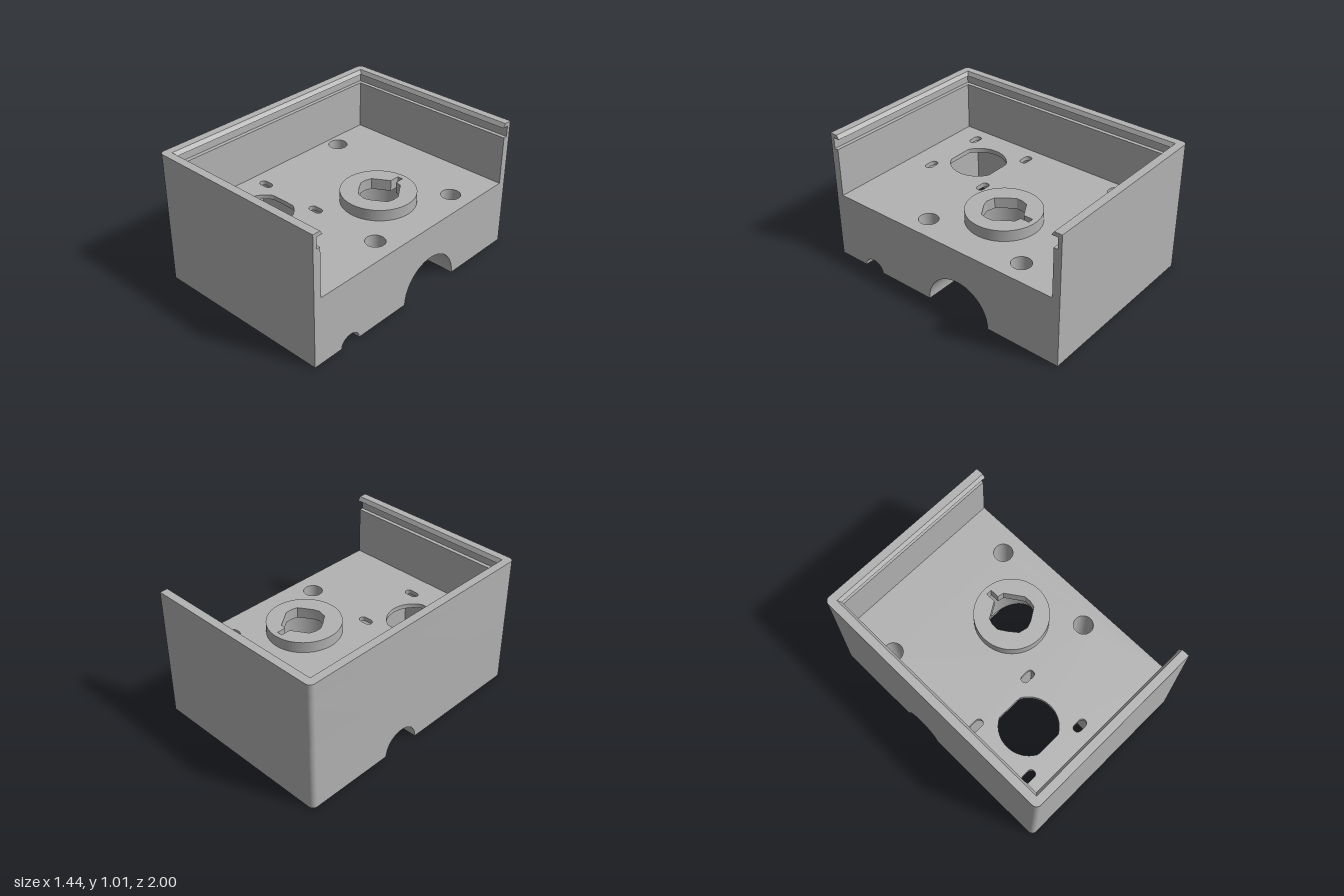
import * as THREE from 'three';
import { toCreasedNormals } from 'three/addons/utils/BufferGeometryUtils.js';

const X = 0.72, FLOOR = 0.525, CZ = -0.15;      // half width, floor height, channel axis
const BIG = 0.265, SMALL = 0.15;                // channel radii
const STEP1 = -0.07, STEP2 = -0.33;             // where the channel narrows
const BOSS = [0.225, -0.155], RECESS = 0.25;    // round boss and the recess under it

// Outline helpers, all returning [a, b] pairs
const arc = (ca, cb, r, from, to, n = 24) => Array.from({ length: n + 1 }, (_, i) => {
  const t = from + (to - from) * i / n;
  return [ca + r * Math.cos(t), cb + r * Math.sin(t)];
});
const circle = (a, b, r, n = 48) => arc(a, b, r, 0, Math.PI * 2, n);
const rect = (a0, a1, b0, b1) => [[a0, b0], [a1, b0], [a1, b1], [a0, b1], [a0, b0]];
const slot = (a, b, half, r) => [
  ...arc(a + half - r, b, r, -Math.PI / 2, Math.PI / 2, 12),
  ...arc(a - half + r, b, r, Math.PI / 2, Math.PI * 1.5, 12), [a + half - r, b - r]];
const corner = (s) => arc(-X + 0.04, s * 0.96, 0.04, s * Math.PI / 2, s * Math.PI, 8);
const toShape = (pts) => new THREE.Shape(pts.map(([a, b]) => new THREE.Vector2(a, b)));

export function createModel() {
  const model = new THREE.Group();
  const grey = new THREE.MeshStandardMaterial({ color: 0xb2b2b2, side: THREE.DoubleSide });
  grey.name = 'grey plastic';

  const add = (name, geo) => {
    const mesh = new THREE.Mesh(toCreasedNormals(geo, 0.5), grey);
    mesh.name = name;
    model.add(mesh);
    return mesh;
  };
  // Flat face, its 2D points placed in space by a mapping
  const panel = (name, pts, holes, place) => {
    const shape = toShape(pts);
    shape.holes = holes.map(toShape);
    const geo = new THREE.ShapeGeometry(shape);
    const p = geo.attributes.position;
    for (let i = 0; i < p.count; i++) p.setXYZ(i, ...place(p.getX(i), p.getY(i)));
    add(name, geo);
  };
  const panelX = (name, x, pts, holes = []) => panel(name, pts, holes, (z, y) => [x, y, z]);
  const panelY = (name, y, pts, holes = []) => panel(name, pts, holes, (x, z) => [x, y, z]);
  // Surface lofted through rows of 3D points
  const loft = (name, rows) => {
    const n = rows[0].length, index = [];
    for (let r = 0; r < rows.length - 1; r++) {
      for (let i = 0; i < n - 1; i++) {
        const a = r * n + i, b = a + n;
        index.push(a, a + 1, b, a + 1, b + 1, b);
      }
    }
    const geo = new THREE.BufferGeometry();
    geo.setAttribute('position', new THREE.Float32BufferAttribute(rows.flat(2), 3));
    geo.setIndex(index);
    add(name, geo);
  };
  const wallY = (name, pts, y0, y1) =>
    loft(name, [y0, y1].map((y) => pts.map(([x, z]) => [x, y, z])));
  const wallX = (name, pts, x0, x1) =>
    loft(name, [x0, x1].map((x) => pts.map(([z, y]) => [x, y, z])));

  // Upper walls: three U-shaped layers forming the wall, lid groove and sloped lip
  const layer = (name, o, y0, y1, topShift = 0) => {
    const xi = -X + o, zi = 1 - o;
    const pts = [[X, 1], ...corner(1), ...corner(-1).reverse(), [X, -1],
      [X, -zi], [xi, -zi], [xi, zi], [X, zi]];
    const geo = new THREE.ExtrudeGeometry(toShape(pts), { depth: y1 - y0, bevelEnabled: false });
    geo.rotateX(-Math.PI / 2).translate(0, y0, 0);
    const p = geo.attributes.position;
    for (let i = 0; i < p.count; i++) {
      if (p.getY(i) < y1 - 1e-4) continue;
      if (Math.abs(p.getX(i) - xi) < 1e-4) p.setX(i, xi - topShift);
      if (Math.abs(Math.abs(p.getZ(i)) - zi) < 1e-4) p.setZ(i, Math.sign(p.getZ(i)) * (zi + topShift));
    }
    add(name, geo);
  };
  layer('upperWalls', 0.06, FLOOR, 0.9);
  layer('lidGroove', 0.03, 0.9, 0.985);
  layer('lidLip', 0.08, 0.985, 1.015, 0.02);

  // Channel cross-sections
  const bigArch = arc(CZ, 0, BIG, 0, Math.PI, 64);
  const smallArch = arc(CZ, 0, SMALL, 0, Math.PI, 32);
  const hex = [[0.2, 0], [0.2, 0.115], [0, 0.23], [-0.2, 0.115], [-0.2, 0]].map(([z, y]) => [CZ + z, y]);
  const cableArch = (r) => arc(0.668, 0, r, 0, Math.PI, 20).map(([z, y]) => [z, y * 0.88]);

  // Lower outer faces
  for (const s of [1, -1]) wallY('lowerSideWall', [[X, s], ...corner(s)], 0, FLOOR);
  panelX('openEndFace', X, [[1, 0], ...cableArch(0.085), ...bigArch, [-1, 0], [-1, FLOOR], [1, FLOOR]]);
  panelX('closedEndFace', -X, [[0.96, 0], ...smallArch, [-0.96, 0], [-0.96, FLOOR], [0.96, FLOOR]]);

  // Stepped channel under the block: round bore, hex nut seat, narrow bore
  const reach = (z) => Math.sqrt(Math.max(0, RECESS ** 2 - (z - CZ) ** 2));
  for (const [s, end] of [[1, X], [-1, STEP1]]) {
    loft('wideBore', [
      bigArch.map(([z, y]) => [BOSS[0] + s * reach(z), y, z]),
      bigArch.map(([z, y]) => [end, y, z])]);
  }
  panelX('boreStep', STEP1, [...bigArch, ...hex.slice().reverse()]);
  wallX('nutSeat', hex, STEP1, STEP2);
  panelX('nutSeatEnd', STEP2, [...hex, ...smallArch.slice().reverse()]);
  wallX('narrowBore', smallArch, STEP2, -X);

  // Upright round recess meeting the wide bore
  const recess = circle(BOSS[0], CZ, RECESS, 72);
  loft('recessWall', [
    recess.map(([x, z]) => [x, Math.sqrt(BIG ** 2 - (z - CZ) ** 2), z]),
    recess.map(([x, z]) => [x, FLOOR, z])]);

  // Raised boss with a keyed hole
  const keyHole = [[0.297, -0.31], [0.387, -0.18], [0.389, -0.13], [0.377, -0.08], [0.276, -0.016],
    [0.228, 0], [0.16, -0.016], [0.105, -0.085], [0.069, -0.143], [0.069, -0.19], [0.085, -0.24],
    [0.207, -0.313], [0.207, -0.39], [0.25, -0.39], [0.25, -0.32], [0.297, -0.31]];
  const bossRim = circle(...BOSS, 0.275, 72);
  wallY('bossSide', bossRim, FLOOR, 0.61);
  panelY('bossTop', 0.61, bossRim, [keyHole]);
  wallY('keyHoleWall', keyHole, FLOOR, 0.61);
  panelY('recessCeiling', FLOOR, recess, [keyHole]);

  // Blind cable groove with a rounded end
  const grooveRows = [[X, 0.085]];
  for (let i = 0; i <= 10; i++) {
    const t = i / 10 * Math.PI / 2;
    grooveRows.push([0.305 - 0.085 * Math.sin(t), 0.085 * Math.cos(t)]);
  }
  loft('cableGroove', grooveRows.map(([x, r]) => cableArch(r).map(([z, y]) => [x, y, z])));

  // Rectangular pocket with an oval opening and four slots through the floor
  const pocket = rect(-0.65, 0.12, 0.16, 0.84), CEIL = 0.49;
  const oval = circle(0, 0, 0.2125, 64)
    .map(([x, z]) => [x - 0.265, 0.5 + THREE.MathUtils.clamp(z, -0.188, 0.188)]);
  const openings = [oval];
  for (const x of [-0.52, -0.01]) for (const z of [0.24, 0.75]) openings.push(slot(x, z, 0.055, 0.03));
  wallY('pocketWalls', pocket, 0, CEIL);
  panelY('pocketCeiling', CEIL, pocket, openings);
  for (const o of openings) wallY('floorOpening', o, CEIL, FLOOR);

  // Counterbored screw holes
  const screws = [[-0.56, -0.57], [0.555, -0.57], [0.555, 0.25]];
  const bores = screws.map(([x, z]) => circle(x, z, 0.03, 24));
  const heads = screws.map(([x, z]) => circle(x, z, 0.072, 36));
  screws.forEach((_, i) => {
    wallY('screwHole', bores[i], 0, 0.15);
    panelY('screwSeat', 0.15, heads[i], [bores[i]]);
    wallY('screwCounterbore', heads[i], 0.15, FLOOR);
  });

  // Floor and the two halves of the underside
  panelY('floor', FLOOR, rect(-X + 0.06, X, -0.94, 0.94), [bossRim, ...openings, ...heads]);
  panelY('frontUnderside', 0, [[X, 1], [X, 0.753],
    ...arc(0.305, 0.668, 0.085, Math.PI / 2, Math.PI * 1.5, 20), [X, 0.583],
    [X, CZ + BIG], [STEP1, CZ + BIG], [STEP1, CZ + 0.2], [STEP2, CZ + 0.2], [STEP2, CZ + SMALL],
    [-X, CZ + SMALL], ...corner(1).reverse()], [pocket, bores[2]]);
  panelY('backUnderside', 0, [[X, -1], [X, CZ - BIG], [STEP1, CZ - BIG], [STEP1, CZ - 0.2],
    [STEP2, CZ - 0.2], [STEP2, CZ - SMALL], [-X, CZ - SMALL], ...corner(-1).reverse()],
  [bores[0], bores[1]]);

  return model;
}
